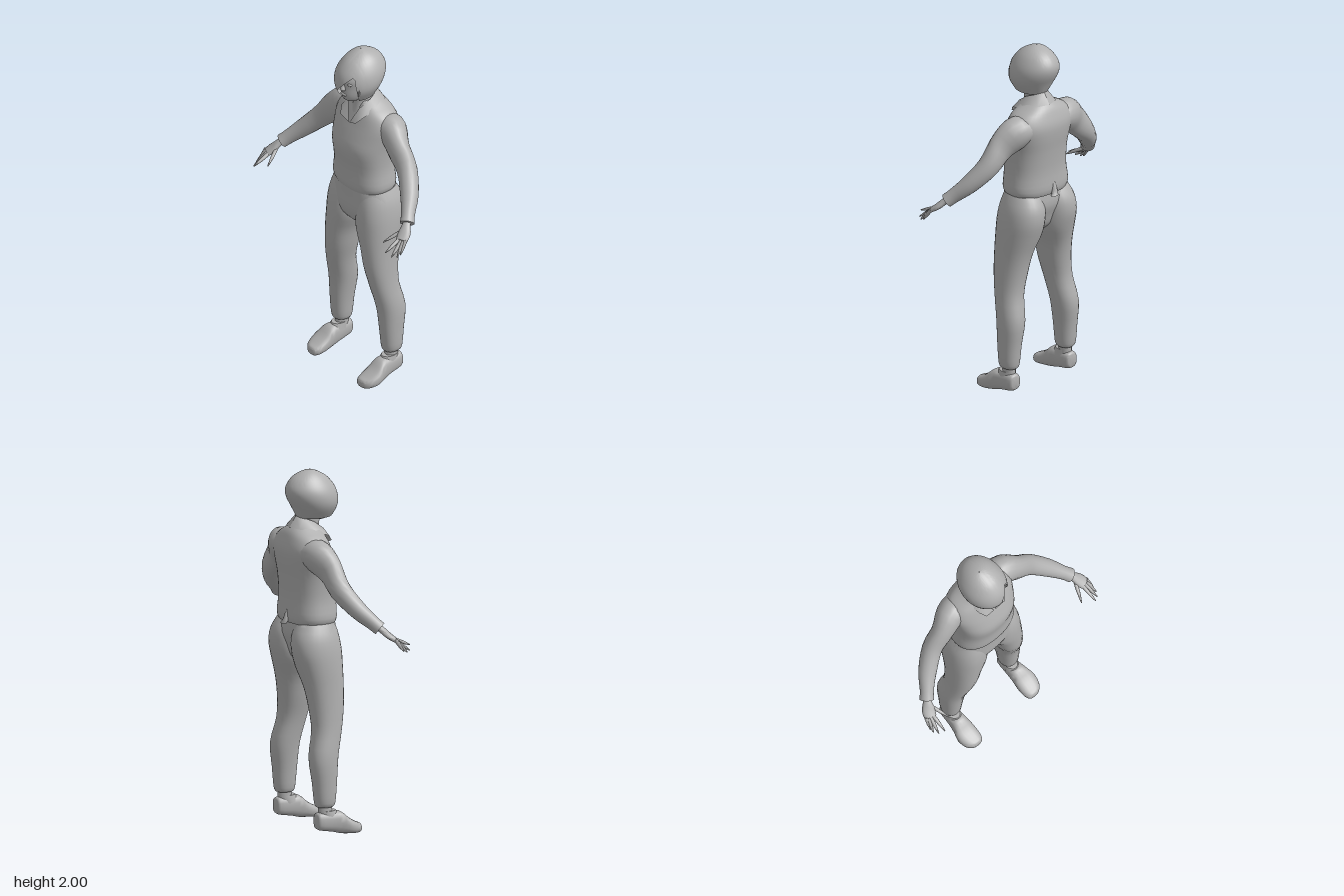
import * as THREE from 'three';
import { toCreasedNormals } from 'three/addons/utils/BufferGeometryUtils.js';

const grey = new THREE.MeshStandardMaterial({ color: 0xb0b0b0, side: THREE.DoubleSide });
grey.name = 'plain grey';

const V = (x, y, z) => new THREE.Vector3(x, y, z);

function add(parent, name, geometry) {
  const mesh = new THREE.Mesh(geometry, grey);
  mesh.name = name;
  parent.add(mesh);
  return mesh;
}

// Surface through rows of points; closed rows wrap round, caps fill both ends
function skin(rows, closed = true, caps = true) {
  const n = rows[0].length, pos = [], idx = [];
  rows.forEach(r => r.forEach(p => pos.push(p.x, p.y, p.z)));
  for (let i = 0; i < rows.length - 1; i++) {
    for (let j = 0; j < (closed ? n : n - 1); j++) {
      const k = (j + 1) % n, a = i * n, b = a + n;
      idx.push(a + j, a + k, b + j, a + k, b + k, b + j);
    }
  }
  if (closed && caps) {
    [0, rows.length - 1].forEach((i, end) => {
      const c = rows[i].reduce((s, p) => s.add(p), V(0, 0, 0)).divideScalar(n);
      const ci = pos.length / 3;
      pos.push(c.x, c.y, c.z);
      for (let j = 0; j < n; j++) {
        const a = i * n + j, b = i * n + (j + 1) % n;
        if (end) idx.push(a, b, ci); else idx.push(b, a, ci);
      }
    });
  }
  const g = new THREE.BufferGeometry();
  g.setAttribute('position', new THREE.Float32BufferAttribute(pos, 3));
  g.setIndex(idx);
  return toCreasedNormals(g, 1.0);
}

// Smooth extra cross-sections between the given ones
function refine(sections, steps) {
  const out = [], last = sections.length - 1;
  const at = i => sections[Math.min(last, Math.max(0, i))];
  for (let i = 0; i < last; i++) {
    for (let s = 0; s < steps; s++) {
      const t = s / steps;
      out.push(at(i).map((b, k) => {
        const a = at(i - 1)[k], c = at(i + 1)[k], d = at(i + 2)[k];
        return b + 0.5 * t * (c - a + t * (2 * a - 5 * b + 4 * c - d + t * (3 * (b - c) + d - a)));
      }));
    }
  }
  return [...out, sections[last]];
}

// Sections are [x, y, z, radius, radius]; rings lie across y, z or the path itself
function loft(sections, axis = 'y', { n = 28, power = 2, steps = 3 } = {}) {
  const s = refine(sections, steps);
  const centre = i => V(s[i][0], s[i][1], s[i][2]);
  const bend = c => Math.sign(c) * Math.abs(c) ** (2 / power);
  return skin(s.map((sec, i) => {
    let u = V(1, 0, 0), v = axis === 'z' ? V(0, 1, 0) : V(0, 0, -1);
    if (axis === 'path') {
      const t = centre(Math.min(i + 1, s.length - 1)).sub(centre(Math.max(i - 1, 0))).normalize();
      u = t.clone().cross(V(0, 1, 0)).normalize();
      v = t.clone().cross(u);
    }
    return Array.from({ length: n }, (_, j) => {
      const a = j / n * Math.PI * 2;
      return centre(i).addScaledVector(u, bend(Math.cos(a)) * sec[3])
        .addScaledVector(v, bend(Math.sin(a)) * sec[4]);
    });
  }));
}

// Front and back depths to a horizontal section
const slab = (x, y, rx, front, back) => [x, y, (front + back) / 2, rx, (front - back) / 2];

function ball(parent, name, x, y, z, rx, ry, rz) {
  add(parent, name, new THREE.SphereGeometry(1, 14, 10).scale(rx, ry, rz).translate(x, y, z));
}

// Bobbed hair, with a lower edge that sweeps diagonally over the face
function hairGeometry() {
  // height, centre x, radius x, front z, back z
  const shape = refine([
    [1.72, -0.005, 0.07, 0.045, -0.135], [1.75, -0.008, 0.09, 0.07, -0.15],
    [1.8, -0.01, 0.12, 0.088, -0.175], [1.85, -0.012, 0.128, 0.087, -0.202],
    [1.9, -0.013, 0.117, 0.07, -0.21], [1.95, -0.013, 0.087, 0.03, -0.182],
    [1.98, -0.015, 0.055, -0.015, -0.14], [1.995, -0.018, 0.025, -0.05, -0.1],
    [2, -0.02, 0.002, -0.07, -0.074]], 4);
  const sample = y => {
    const i = Math.max(1, shape.findIndex(r => r[0] >= y - 1e-6));
    const a = shape[i - 1], b = shape[i], t = (y - a[0]) / (b[0] - a[0]);
    return a.map((p, k) => p + (b[k] - p) * t);
  };
  const edge = a => {
    const s = Math.sin(a);
    if (Math.cos(a) < 0 || s < -0.45 || s > 0.86) return 1.735;
    if (s < 0.62) return 1.75 + (s + 0.45) / 1.07 * 0.15;
    return 1.9 - (s - 0.62) / 0.24 * 0.15;
  };
  const rows = [], n = 72;
  for (let i = 0; i <= 20; i++) {
    const f = Math.sin(i / 20 * Math.PI / 2);
    rows.push(Array.from({ length: n }, (_, j) => {
      const a = j / n * Math.PI * 2, low = edge(a);
      const [y, cx, rx, front, back] = sample(low + (2 - low) * f);
      return V(cx + rx * Math.sin(a), y, (front + back) / 2 + (front - back) / 2 * Math.cos(a));
    }));
  }
  return skin(rows, true, false);
}

function buildHead(g) {
  add(g, 'face', loft([
    slab(0, 1.715, 0.025, 0.025, -0.05), slab(0, 1.735, 0.05, 0.058, -0.08),
    slab(0, 1.77, 0.07, 0.07, -0.13), slab(0, 1.82, 0.083, 0.068, -0.17),
    slab(0, 1.87, 0.088, 0.064, -0.18), slab(0, 1.93, 0.07, 0.02, -0.16)]));
  add(g, 'nose', loft([
    slab(0, 1.798, 0.012, 0.078, 0.05), slab(0, 1.808, 0.016, 0.09, 0.05),
    slab(0, 1.83, 0.009, 0.079, 0.05), slab(0, 1.855, 0.007, 0.068, 0.05)], 'y', { n: 12 }));
  ball(g, 'lips', 0, 1.773, 0.067, 0.024, 0.009, 0.009);
  for (const s of [1, -1]) ball(g, 'eye', s * 0.034, 1.843, 0.052, 0.016, 0.009, 0.01);
  add(g, 'hair', hairGeometry());
  add(g, 'neck', loft([
    slab(0, 1.58, 0.07, 0.005, -0.15), slab(0, 1.65, 0.055, -0.008, -0.15),
    slab(0, 1.7, 0.047, -0.01, -0.14), slab(0, 1.77, 0.05, 0, -0.13)]));
}

function buildShirt(g) {
  add(g, 'shirt', loft([
    slab(0, 1.165, 0.182, 0.048, -0.212), slab(0, 1.2, 0.193, 0.056, -0.22),
    slab(0, 1.3, 0.18, 0.056, -0.214), slab(0, 1.42, 0.186, 0.07, -0.222),
    slab(0, 1.5, 0.198, 0.047, -0.232), slab(0, 1.57, 0.205, 0.018, -0.234),
    slab(0, 1.63, 0.175, -0.006, -0.215), slab(0, 1.67, 0.11, -0.022, -0.195),
    slab(0, 1.7, 0.062, -0.03, -0.165)], 'y', { n: 40, power: 2.35 }));
  add(g, 'shirtTail', loft([
    [0, 1.16, -0.232, 0.025, 0.014], [-0.01, 1.18, -0.222, 0.018, 0.016],
    [-0.01, 1.24, -0.205, 0.01, 0.012]], 'y', { n: 10 }));
  // Folded collar, open in a V at the front
  for (const s of [1, -1]) {
    const top = [[0.004, 1.575, 0.03], [0.045, 1.67, -0.005], [0.062, 1.715, -0.07], [0.045, 1.74, -0.13], [0, 1.745, -0.152]];
    const low = [[0.065, 1.6, 0.036], [0.09, 1.635, 0.005], [0.108, 1.665, -0.08], [0.07, 1.685, -0.17], [0, 1.685, -0.192]];
    add(g, 'collar', skin([top, low].map(r => r.map(p => V(s * p[0], p[1], p[2]))), false));
  }
}

function buildArm(g, s) {
  const side = list => list.map(([x, ...rest]) => [s * x, ...rest]);
  add(g, 'sleeve', loft(side([
    [0.13, 1.56, -0.125, 0.085, 0.075], [0.19, 1.55, -0.12, 0.08, 0.093],
    [0.27, 1.485, -0.095, 0.06, 0.08], [0.355, 1.395, -0.085, 0.056, 0.062],
    [0.44, 1.3, -0.03, 0.05, 0.05], [0.5, 1.232, 0.03, 0.038, 0.04],
    [0.528, 1.2, 0.06, 0.04, 0.038]]), 'path', { n: 20 }));
  add(g, 'palm', loft(side([
    [0.515, 1.215, 0.045, 0.022, 0.018], [0.533, 1.193, 0.07, 0.024, 0.018],
    [0.553, 1.162, 0.1, 0.036, 0.017], [0.567, 1.137, 0.132, 0.034, 0.014]]), 'path', { n: 14 }));
  // Each digit: root then tip
  const digits = [
    [[0.588, 1.145, 0.12], [0.6, 1.075, 0.168]], [[0.58, 1.138, 0.128], [0.598, 1.068, 0.19]],
    [[0.566, 1.135, 0.132], [0.582, 1.072, 0.215]], [[0.55, 1.14, 0.13], [0.554, 1.095, 0.234]],
    [[0.532, 1.17, 0.09], [0.486, 1.112, 0.195]]];
  digits.forEach(([a, b], i) => {
    const mid = a.map((p, k) => p * 0.45 + b[k] * 0.55);
    add(g, i === 4 ? 'thumb' : 'finger', loft(side([
      [...a, 0.011, 0.011], [...mid, 0.0095, 0.0095], [...b, 0.003, 0.003]]), 'path', { n: 8 }));
  });
}

function buildLeg(g, s) {
  add(g, 'trouserLeg', loft([
    slab(s * 0.208, 0.165, 0.042, -0.05, -0.145), slab(s * 0.21, 0.19, 0.053, -0.038, -0.155),
    slab(s * 0.208, 0.3, 0.06, -0.028, -0.166), slab(s * 0.2, 0.44, 0.07, -0.016, -0.181),
    slab(s * 0.182, 0.58, 0.072, 0.016, -0.152), slab(s * 0.163, 0.7, 0.082, 0.038, -0.157),
    slab(s * 0.147, 0.82, 0.092, 0.046, -0.178), slab(s * 0.124, 0.93, 0.113, 0.05, -0.212),
    slab(s * 0.118, 1.02, 0.113, 0.047, -0.234), slab(s * 0.11, 1.1, 0.105, 0.035, -0.228),
    slab(s * 0.1, 1.17, 0.085, 0.015, -0.19)], 'y', { power: 2.2 }));
  add(g, 'ankle', loft([
    slab(s * 0.21, 0.09, 0.034, -0.05, -0.135), slab(s * 0.21, 0.2, 0.032, -0.06, -0.135)], 'y', { n: 16 }));
  add(g, 'shoe', loft([
    [s * 0.212, 0.088, -0.152, 0.025, 0.03], [s * 0.212, 0.086, -0.138, 0.038, 0.048],
    [s * 0.213, 0.078, -0.06, 0.044, 0.056], [s * 0.216, 0.07, -0.01, 0.05, 0.062],
    [s * 0.22, 0.047, 0.04, 0.06, 0.044], [s * 0.216, 0.031, 0.09, 0.054, 0.031],
    [s * 0.21, 0.026, 0.117, 0.036, 0.024], [s * 0.208, 0.025, 0.125, 0.018, 0.014]], 'z', { n: 24, power: 2.7 }));
  add(g, 'shoeTongue', loft([
    slab(s * 0.211, 0.1, 0.043, -0.005, -0.13), slab(s * 0.211, 0.142, 0.036, -0.03, -0.135)], 'y', { n: 16 }));
}

export function createModel() {
  const model = new THREE.Group();
  model.name = 'standingWoman';
  const part = (name, build, s) => {
    const g = new THREE.Group();
    g.name = name;
    build(g, s);
    model.add(g);
  };
  part('head', buildHead);
  part('upperBody', buildShirt);
  // Waist and hips join the two trouser legs
  part('hips', g => add(g, 'trouserSeat', loft([
    slab(0, 0.935, 0.05, 0, -0.14), slab(0, 0.97, 0.16, 0.03, -0.17),
    slab(0, 1.03, 0.215, 0.045, -0.19), slab(0, 1.1, 0.213, 0.045, -0.21),
    slab(0, 1.18, 0.18, 0.045, -0.2)], 'y', { n: 40, power: 2.3 })));
  for (const s of [1, -1]) {
    part(s > 0 ? 'leftArm' : 'rightArm', buildArm, s);
    part(s > 0 ? 'leftLeg' : 'rightLeg', buildLeg, s);
  }
  return model;
}
